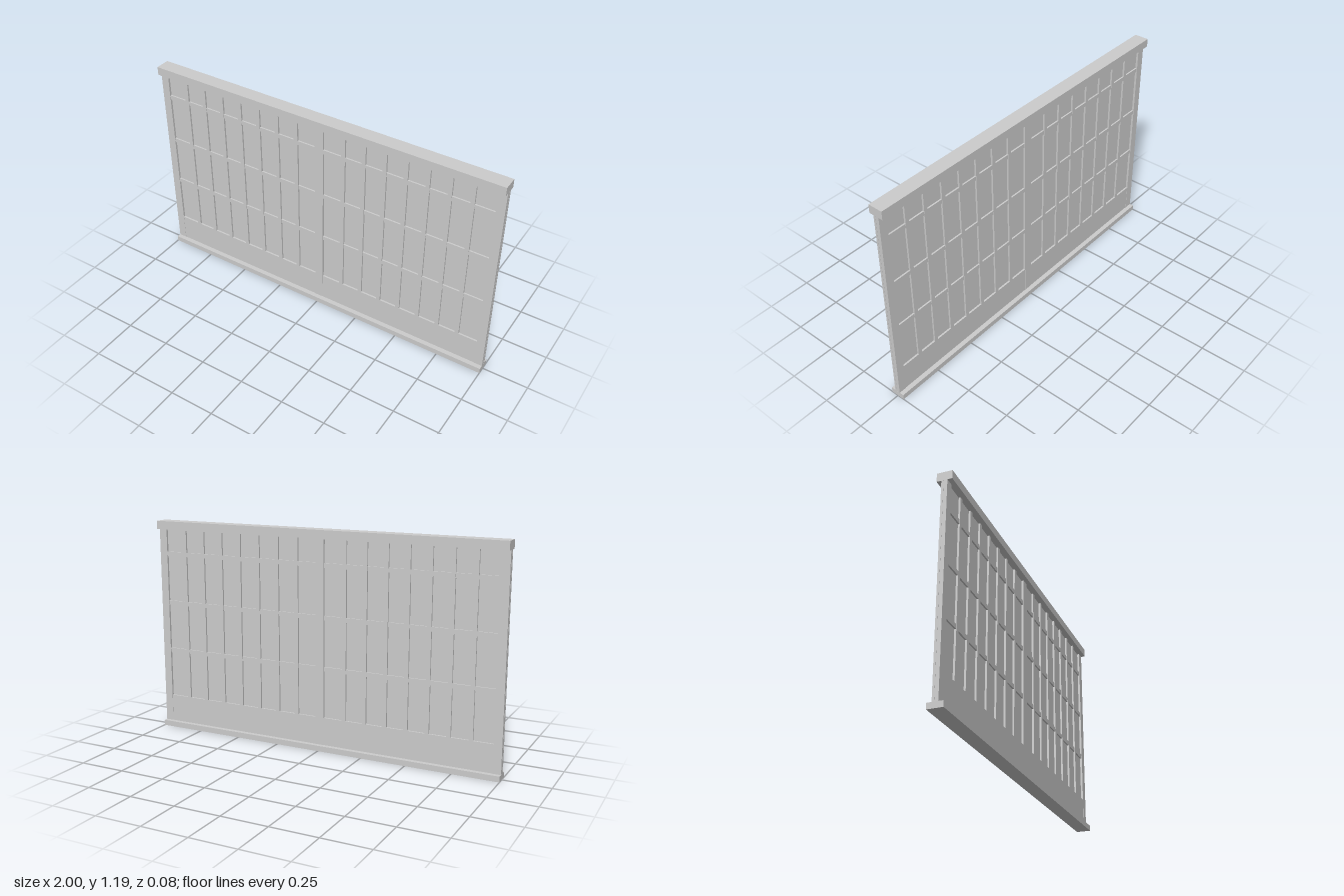
import * as THREE from 'three';

export function createModel() {
  const group = new THREE.Group();
  const mat = new THREE.MeshStandardMaterial({ color: 0xcccccc, flatShading: true });

  // box given by its x and y ranges and z range
  function box(name, x0, x1, y0, y1, z0, z1) {
    const mesh = new THREE.Mesh(new THREE.BoxGeometry(x1 - x0, y1 - y0, z1 - z0), mat);
    mesh.position.set((x0 + x1) / 2, (y0 + y1) / 2, (z0 + z1) / 2);
    mesh.name = name;
    group.add(mesh);
  }

  const RAIL_TOP = 0.03, HEAD_BOTTOM = 1.14, SILL = 0.182;
  const CORE = 0.004, FACE = 0.0155;
  const INNER = 0.024, OUTER = 0.955, COLUMNS = 8;
  const pitch = (OUTER - INNER) / COLUMNS;

  // rails and thin infill sheet
  box('topRail', -1, 1, HEAD_BOTTOM, 1.186, -0.04, 0.04);
  box('bottomRail', -1, 1, 0, RAIL_TOP, -0.04, 0.04);
  box('infillSheet', -0.999, 0.999, RAIL_TOP, HEAD_BOTTOM, -CORE, CORE);

  // the same lattice on the front and the back
  for (const side of [1, -1]) {
    const layer = (name, x0, x1, y0, y1, depth) =>
      box(name, x0, x1, y0, y1, Math.min(side * CORE, side * depth), Math.max(side * CORE, side * depth));

    layer('centreStile', -INNER, INNER, RAIL_TOP, HEAD_BOTTOM, FACE);
    for (const half of [1, -1]) {
      const span = (name, a, b, y0, y1, depth) =>
        layer(name, Math.min(half * a, half * b), Math.max(half * a, half * b), y0, y1, depth);

      span('outerStile', OUTER, 1, RAIL_TOP, HEAD_BOTTOM, FACE);
      span('lowerPanel', INNER, OUTER, RAIL_TOP, SILL, FACE - 0.0015);

      // upright bars
      for (let i = 1; i < COLUMNS; i++) {
        const x = INNER + i * pitch;
        span('uprightBar', x - 0.011, x + 0.011, SILL, HEAD_BOTTOM, FACE - 0.0015);
      }
      // cross bars
      for (const y of [0.45, 0.725, 1.002]) {
        span('crossBar', INNER, OUTER, y - 0.012, y + 0.012, FACE - 0.003);
      }
    }
  }
  return group;
}
